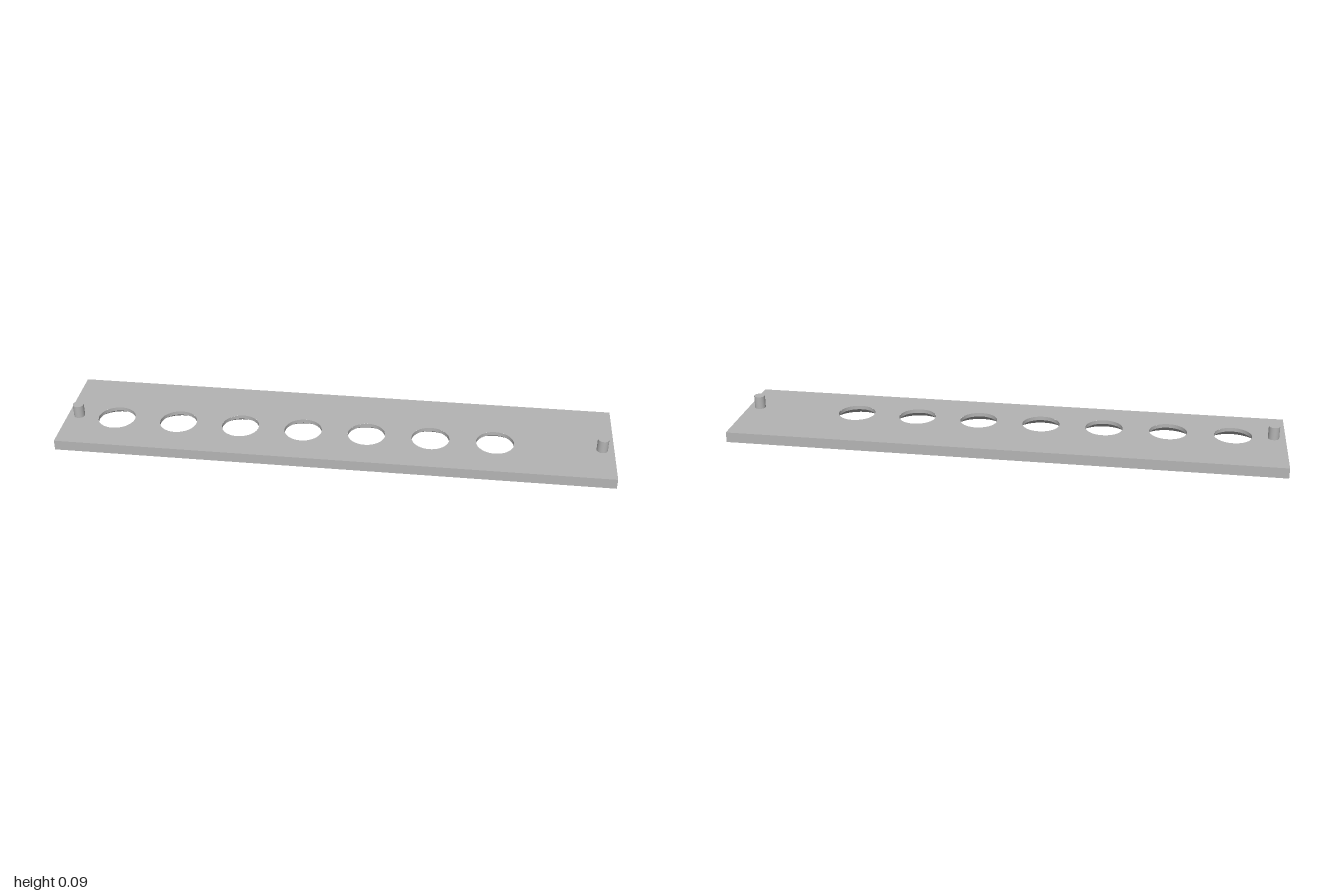
import * as THREE from 'three';
import { mergeGeometries } from 'three/addons/utils/BufferGeometryUtils.js';

const LENGTH = 2, WIDTH = 0.424, THICK = 0.038;
const ROW_Z = 0.037; // holes and pins share one line
const HOLE_R = 0.068, SINK_R = 0.1, SINK_TOP = 0.024;
const holeXs = Array.from({ length: 7 }, (_, i) => -0.814 + i * 0.232);

// Flat plate face pierced by round holes, facing up or down
function piercedFace(radius, y, up) {
  const w = LENGTH / 2, d = WIDTH / 2, s = up ? -1 : 1;
  const shape = new THREE.Shape();
  shape.moveTo(-w, -d).lineTo(w, -d).lineTo(w, d).lineTo(-w, d).closePath();
  for (const x of holeXs) {
    shape.holes.push(new THREE.Path().absarc(x, s * ROW_Z, radius, 0, Math.PI * 2, true));
  }
  return new THREE.ShapeGeometry(shape, 48).rotateX(s * Math.PI / 2).translate(0, y, 0);
}

// The four outer edges: a box without its top and bottom
function plateEdges() {
  const box = new THREE.BoxGeometry(LENGTH, THICK, WIDTH).translate(0, THICK / 2, 0);
  const index = Array.from(box.index.array);
  box.setIndex([...index.slice(0, 12), ...index.slice(24)]);
  box.clearGroups();
  return box;
}

// Inward-facing ring, drawn from its upper rim down to its lower rim
function innerWall(rTop, yTop, rBottom, yBottom) {
  return new THREE.LatheGeometry(
    [new THREE.Vector2(rTop, yTop), new THREE.Vector2(rBottom, yBottom)], 48);
}

export function createModel() {
  const model = new THREE.Group();
  model.name = 'mountingPlate';
  const grey = new THREE.MeshStandardMaterial({ color: 0xb4b4b4 });
  grey.name = 'grey';

  const add = (name, geometry, x = 0, y = 0, z = 0) => {
    const mesh = new THREE.Mesh(geometry, grey);
    mesh.name = name;
    mesh.position.set(x, y, z);
    model.add(mesh);
  };

  // Plate with narrow holes above and wide countersinks below
  add('plate', mergeGeometries([
    piercedFace(HOLE_R, THICK, true),
    piercedFace(SINK_R, 0, false),
    plateEdges(),
  ]));

  // Straight bore over a conical countersink
  const bore = mergeGeometries([
    innerWall(HOLE_R, THICK, HOLE_R, SINK_TOP),
    innerWall(HOLE_R, SINK_TOP, SINK_R, 0),
  ]);
  holeXs.forEach((x, i) => add(`countersunkHole${i + 1}`, bore, x, 0, ROW_Z));

  // Locating pins near both ends
  const pinHeight = 0.047;
  const pin = new THREE.CylinderGeometry(0.02, 0.02, pinHeight, 32);
  for (const side of [-1, 1]) {
    add(side > 0 ? 'leftPin' : 'rightPin', pin, side * 0.957, THICK + pinHeight / 2, ROW_Z);
  }
  return model;
}
